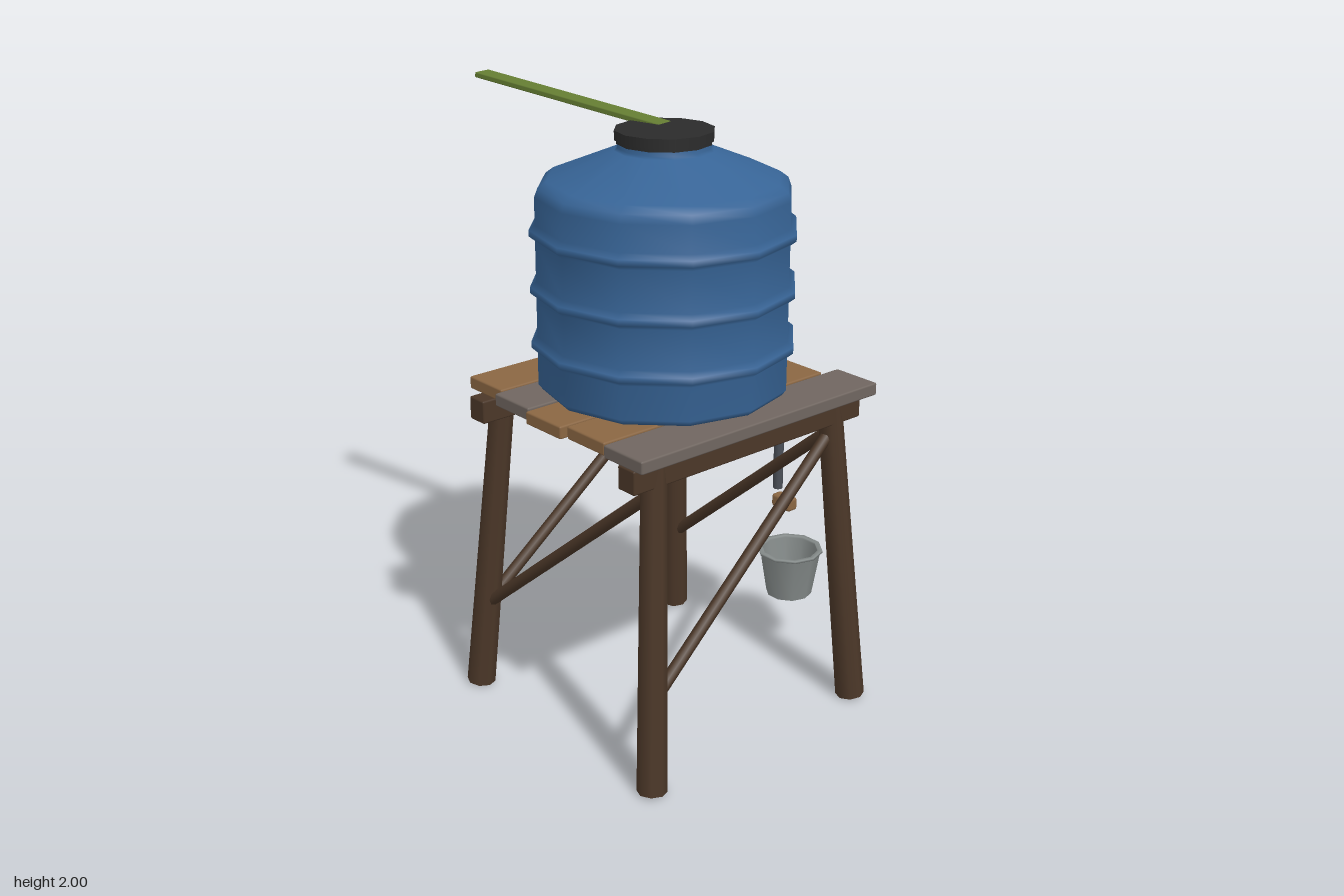
import * as THREE from 'three';
import { RoundedBoxGeometry } from 'three/addons/geometries/RoundedBoxGeometry.js';

const mat = (name, color, side = THREE.FrontSide) => {
  const m = new THREE.MeshStandardMaterial({ color, side });
  m.name = name;
  return m;
};

export function createModel() {
  const group = new THREE.Group();
  const blue = mat('tank blue', 0x376496);
  const black = mat('lid black', 0x2b2b2b);
  const darkWood = mat('dark wood', 0x4b3728);
  const tanWood = mat('tan wood', 0x8b6743);
  const greyWood = mat('grey wood', 0x706660);
  const slate = mat('pipe slate', 0x4a4f57);
  const zinc = mat('bucket zinc', 0x868c8b, THREE.DoubleSide);
  const green = mat('bamboo green', 0x647c32);

  const add = (name, geometry, material, x = 0, y = 0, z = 0) => {
    const mesh = new THREE.Mesh(geometry, material);
    mesh.name = name;
    mesh.position.set(x, y, z);
    group.add(mesh);
    return mesh;
  };
  const box = (name, material, min, max, r = 0.006) => add(
    name,
    new RoundedBoxGeometry(max[0] - min[0], max[1] - min[1], max[2] - min[2], 1, r),
    material, ...min.map((v, i) => (v + max[i]) / 2));
  // Round bar from point a to point b
  const rod = (name, material, a, b, ra, rb = ra, sides = 8) => {
    const dir = b.clone().sub(a);
    const mesh = add(name, new THREE.CylinderGeometry(rb, ra, dir.length(), sides), material);
    mesh.position.copy(a).add(b).multiplyScalar(0.5);
    mesh.quaternion.setFromUnitVectors(new THREE.Vector3(0, 1, 0), dir.normalize());
    return mesh;
  };
  const lathe = (points, sides) =>
    new THREE.LatheGeometry(points.map(p => new THREE.Vector2(...p)), sides);
  const V = (x, y, z) => new THREE.Vector3(x, y, z);

  // Splayed legs; legAt gives the leg's centre line at height y
  const legAt = (sx, sz, y) => V(-0.08 + sx * (0.443 - 0.07 * y), y, 0.162 + sz * (0.445 - 0.073 * y));
  for (const sx of [-1, 1]) for (const sz of [-1, 1])
    rod('leg', darkWood, legAt(sx, sz, 0.007), legAt(sx, sz, 1.065), 0.048, 0.039);

  // One diagonal brace on each face
  for (const s of [-1, 1]) {
    rod('crossBrace', darkWood, legAt(-1, s, 0.3), legAt(1, s, 0.965), 0.02);
    rod('sideBrace', darkWood, legAt(s, -1, 0.3), legAt(s, 1, 0.965), 0.02);
  }

  // Beams under the platform
  for (const z of [-0.203, 0.528])
    box('beam', darkWood, [-0.555, 0.99, z - 0.037], [0.395, 1.067, z + 0.037]);

  // Platform planks: x range, z range, material, slight turn
  const planks = [
    [-0.515, 0.405, -0.291, -0.12, tanWood, -0.003],
    [-0.547, 0.375, -0.112, 0.06, greyWood, -0.003],
    [-0.567, 0.388, 0.07, 0.24, tanWood, 0.002],
    [-0.547, 0.363, 0.249, 0.423, tanWood, -0.003],
    [-0.557, 0.425, 0.432, 0.604, greyWood, -0.004],
  ];
  for (const [x0, x1, z0, z1, material, turn] of planks)
    box('plank', material, [x0, 1.068, z0], [x1, 1.11, z1]).rotation.y = turn;

  // Ribbed water tank
  const profile = [[0, 1.111], [0.385, 1.111], [0.4, 1.13]];
  for (const y of [1.263, 1.44, 1.62])
    profile.push([0.4, y - 0.025], [0.419, y - 0.01], [0.419, y + 0.01], [0.4, y + 0.025]);
  profile.push([0.4, 1.73], [0.39, 1.757], [0.363, 1.777], [0.155, 1.862], [0.145, 1.87], [0.145, 1.9]);
  add('tank', lathe(profile, 12), blue, -0.08, 0, 0.155);

  // Lid
  add('lid', new THREE.CylinderGeometry(0.155, 0.155, 0.03, 12), black, -0.08, 1.909, 0.155);
  add('lidCollar', new THREE.CylinderGeometry(0.149, 0.149, 0.012, 12), black, -0.08, 1.889, 0.155);

  // Bamboo strip resting on the lid
  const a = V(-0.03, 1.917, 0.1), b = V(-0.178, 1.99, -0.642);
  const strip = add('bambooStrip', new RoundedBoxGeometry(0.064, 0.018, a.distanceTo(b), 1, 0.004), green);
  strip.position.copy(a).add(b).multiplyScalar(0.5);
  strip.lookAt(a);

  // Outlet pipe with a chamfered elbow
  const path = [V(0.28, 1.253, 0.161), V(0.425, 1.253, 0.161), V(0.444, 1.225, 0.161), V(0.444, 0.59, 0.161)];
  for (let i = 0; i < 3; i++) rod('pipe', slate, path[i], path[i + 1], 0.017);

  // Tap handle under the pipe
  box('tapHandle', tanWood, [0.421, 0.526, 0.153], [0.466, 0.572, 0.238], 0.01);

  // Open bucket with a rim
  add('bucket', lathe([[0, 0.21], [0.08, 0.21], [0.08, 0.21], [0.106, 0.368], [0.114, 0.37], [0.114, 0.378],
    [0.098, 0.378], [0.098, 0.37], [0.074, 0.222], [0.074, 0.222], [0, 0.222]], 10), zinc, 0.453, 0, 0.22);

  return group;
}
